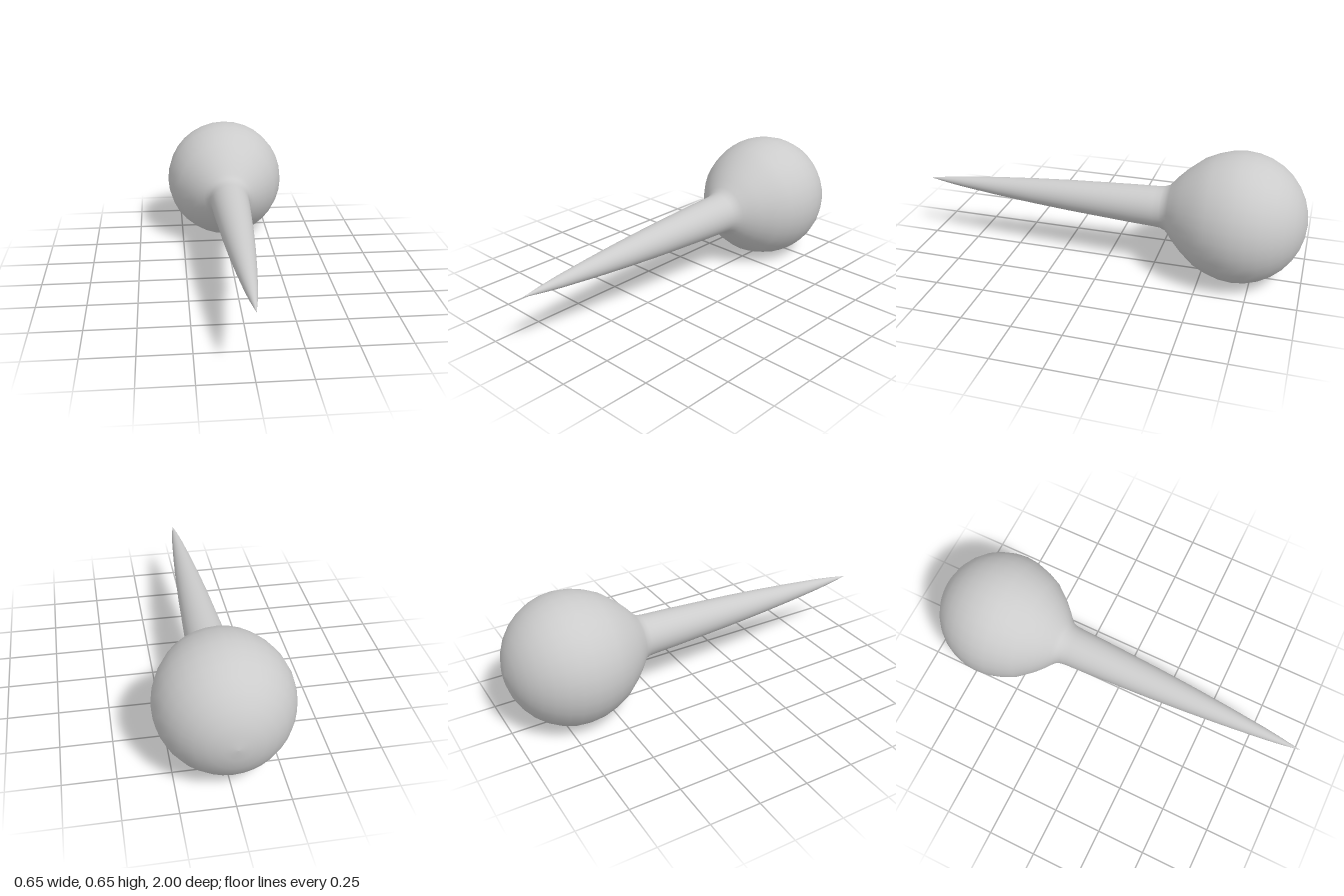
import * as THREE from 'three';

const RADIUS = 0.327;
const BALL_Z = -1 + RADIUS;

export function createModel() {
  const group = new THREE.Group();
  const material = new THREE.MeshStandardMaterial({ color: 0xcccccc });

  // Profile as (radius, distance along z): round ball first
  const profile = [];
  for (let i = 0; i <= 9; i++) {
    const a = (i / 16) * Math.PI;
    profile.push(new THREE.Vector2(RADIUS * Math.sin(a), BALL_Z - RADIUS * Math.cos(a)));
  }

  // Ball narrows into a flared neck, then a long taper to a point
  const taper = [
    [0.3, -0.54], [0.27, -0.475], [0.21, -0.4], [0.168, -0.358], [0.135, -0.33],
    [0.115, -0.31], [0.106, -0.285], [0.103, -0.25], [0.098, -0.13], [0.091, 0.0],
    [0.08, 0.2], [0.066, 0.4], [0.049, 0.6], [0.029, 0.8], [0.016, 0.9], [0, 1],
  ];
  taper.forEach(([r, z]) => profile.push(new THREE.Vector2(r, z)));

  // One turned body, laid down so the point faces forward
  const geometry = new THREE.LatheGeometry(profile, 32);
  geometry.rotateX(Math.PI / 2);
  const body = new THREE.Mesh(geometry, material);
  body.name = 'ballHeadedSpike';
  body.position.y = RADIUS;
  group.add(body);

  return group;
}
